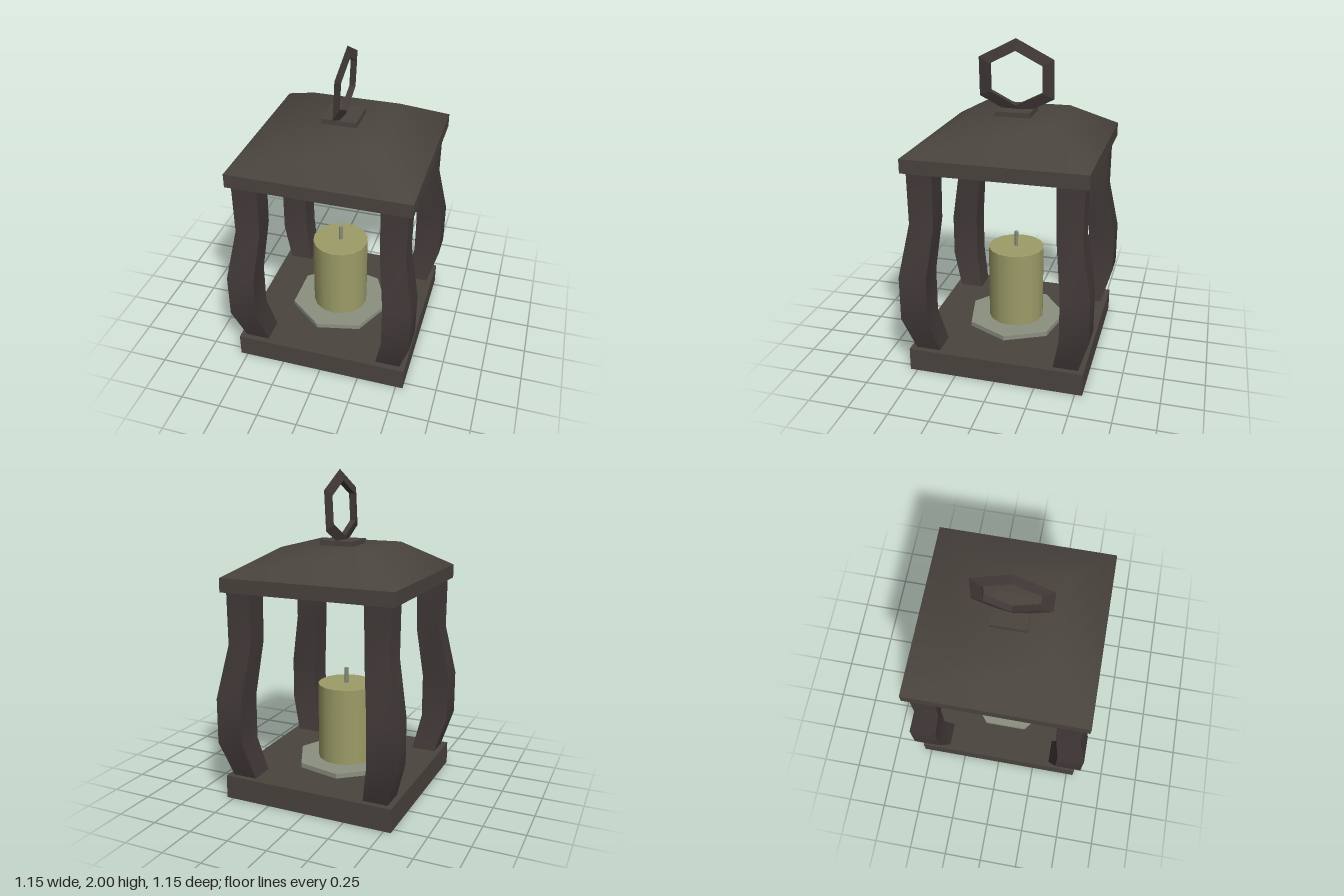
import * as THREE from 'three';
import { toCreasedNormals } from 'three/addons/utils/BufferGeometryUtils.js';

const mat = (color, flatShading = false) => new THREE.MeshStandardMaterial({ color, flatShading });

// Closed loft through square sections, each [y, centre x, centre z, half width], bottom to top
function squareLoft(sections) {
  const corners = [[-1, 1], [1, 1], [1, -1], [-1, -1]];
  const pos = [], index = [];
  for (const [y, cx, cz, h] of sections)
    for (const [sx, sz] of corners) pos.push(cx + sx * h, y, cz + sz * h);
  for (let s = 0; s < sections.length - 1; s++)
    for (let k = 0; k < 4; k++) {
      const a = s * 4 + k, b = s * 4 + (k + 1) % 4;
      index.push(a, b, b + 4, a, b + 4, a + 4);
    }
  const t = (sections.length - 1) * 4;
  index.push(0, 2, 1, 0, 3, 2, t, t + 1, t + 2, t, t + 2, t + 3);
  const g = new THREE.BufferGeometry();
  g.setAttribute('position', new THREE.Float32BufferAttribute(pos, 3));
  g.setIndex(index);
  return toCreasedNormals(g, THREE.MathUtils.degToRad(50));
}

export function createModel() {
  const lantern = new THREE.Group();
  lantern.name = 'lantern';
  const metal = mat(0x4a443e), postMetal = mat(0x423a39), ringMetal = mat(0x423a39, true);
  const add = (name, geometry, material, x = 0, y = 0, z = 0) => {
    const mesh = new THREE.Mesh(geometry, material);
    mesh.name = name;
    mesh.position.set(x, y, z);
    lantern.add(mesh);
    return mesh;
  };

  // Base slab, sloped roof and the small plate under the ring
  add('base', new THREE.BoxGeometry(1.09, 0.145, 1.09), metal, 0, 0.0725, 0);
  add('roof', squareLoft([[1.3, 0, 0, 0.545], [1.385, 0, 0, 0.545], [1.55, 0, 0, 0.275]]), metal);
  add('ringPlate', new THREE.BoxGeometry(0.212, 0.04, 0.212), metal, 0, 1.56, 0);

  // Four bowed corner posts: [y, inner edge, outer edge]
  const profile = [
    [0.14, 0.355, 0.508], [0.37, 0.402, 0.575], [0.65, 0.402, 0.575],
    [0.98, 0.364, 0.515], [1.305, 0.36, 0.517],
  ];
  for (const sx of [-1, 1])
    for (const sz of [-1, 1]) {
      const sections = profile.map(([y, a, b]) => [y, sx * (a + b) / 2, sz * (a + b) / 2, (b - a) / 2]);
      add(`${sz > 0 ? 'front' : 'back'}${sx > 0 ? 'Left' : 'Right'}Post`, squareLoft(sections), postMetal);
    }

  // Hexagonal carrying ring with a triangular section, leaning slightly
  const ring = new THREE.TorusGeometry(0.188, 0.047, 3, 6);
  ring.rotateZ(Math.PI / 2).scale(1.13, 1, 0.47).rotateY(Math.PI / 2);
  add('carryingRing', ring, ringMetal, 0.009, 1.765, 0).rotation.z = -0.05;

  // Candle on its seven-sided dish, a little off centre
  const cx = -0.02, cz = 0.008;
  const dish = new THREE.CylinderGeometry(0.321, 0.321, 0.035, 7).rotateY(Math.PI / 2);
  add('candleDish', dish, mat(0x8c9080, true), cx, 0.1575, cz);
  add('candle', new THREE.CylinderGeometry(0.179, 0.179, 0.495, 16), mat(0x9c9c68), cx, 0.4175, cz);
  add('wick', new THREE.CylinderGeometry(0.012, 0.012, 0.105, 6), mat(0x8c9080), cx, 0.7125, cz);

  return lantern;
}
